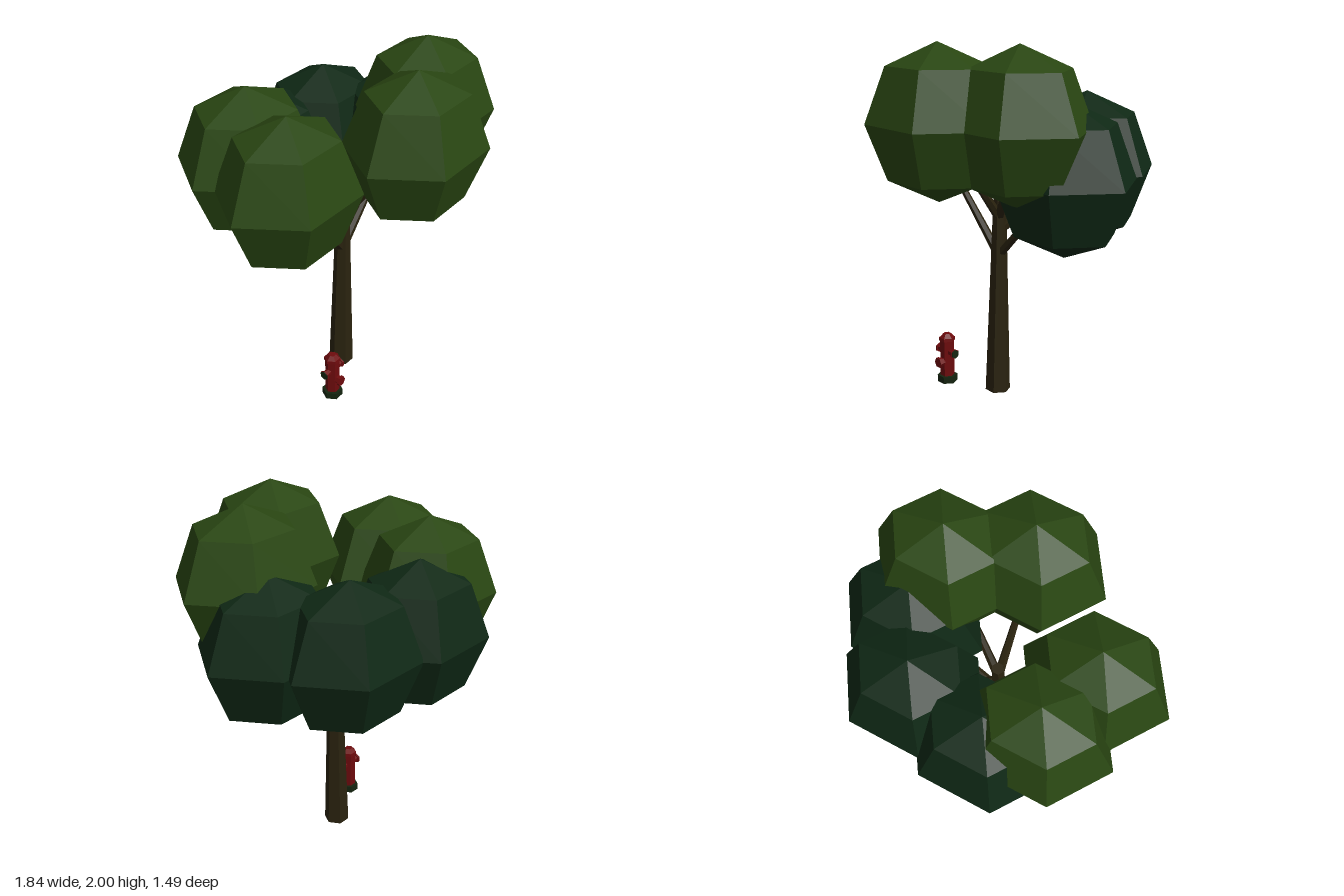
import * as THREE from 'three';

const flat = (name, color) => {
  const m = new THREE.MeshStandardMaterial({ color, flatShading: true });
  m.name = name;
  return m;
};

export function createModel() {
  const lightLeaf = flat('light leaf green', 0x294612);
  const darkLeaf = flat('dark leaf green', 0x0f2815);
  const bark = flat('bark brown', 0x2a230f);
  const red = flat('hydrant red', 0x6e0b0d);
  const iron = flat('hydrant dark green', 0x14240f);

  const model = new THREE.Group();
  const add = (parent, name, geometry, material) => {
    const mesh = new THREE.Mesh(geometry, material);
    mesh.name = name;
    parent.add(mesh);
    return mesh;
  };

  // tapered six-sided rod between two points
  const rod = (parent, name, material, a, b, r0, r1, sides = 6) => {
    const from = new THREE.Vector3(...a), to = new THREE.Vector3(...b);
    const dir = to.clone().sub(from);
    const geo = new THREE.CylinderGeometry(r1, r0, dir.length(), sides);
    geo.rotateY(Math.PI / 2); // corners on the x axis
    const mesh = add(parent, name, geo, material);
    mesh.position.copy(from).add(to).multiplyScalar(0.5);
    mesh.quaternion.setFromUnitVectors(new THREE.Vector3(0, 1, 0), dir.normalize());
    return mesh;
  };

  // tree
  const tree = new THREE.Group();
  tree.name = 'tree';
  model.add(tree);
  rod(tree, 'trunk', bark, [-0.005, 0, 0], [0.012, 1.13, 0], 0.071, 0.036);

  // foliage: position, material, height where its branch leaves the trunk
  const clumps = [
    [0.04, 1.59, 0.435, lightLeaf, 1.02],
    [0.43, 1.59, 0.23, lightLeaf, 1.02],
    [-0.51, 1.45, 0.065, lightLeaf, 0.8],
    [-0.385, 1.45, -0.31, lightLeaf, 1.0],
    [-0.145, 1.31, -0.44, darkLeaf, 0.95],
    [0.305, 1.31, -0.365, darkLeaf, 0.95],
    [0.51, 1.31, -0.01, darkLeaf, 0.81],
  ];
  const clumpShape = new THREE.SphereGeometry(0.41, 6, 4);
  clumpShape.scale(1, 1, 0.87);
  for (const [x, y, z, material, start] of clumps) {
    add(tree, 'foliage', clumpShape, material).position.set(x, y, z);
    const t = 0.65;
    rod(tree, 'branch', bark, [0.01, start, 0],
      [0.01 + (x - 0.01) * t, start + (y - start) * t, z * t], 0.027, 0.017);
  }

  // fire hydrant
  const hydrant = new THREE.Group();
  hydrant.name = 'hydrant';
  hydrant.position.set(-0.283, 0, 0.152);
  model.add(hydrant);
  rod(hydrant, 'hydrantBase', iron, [0, 0, 0], [0, 0.04, 0], 0.058, 0.058);
  rod(hydrant, 'hydrantBody', red, [0, 0.04, 0], [0, 0.26, 0], 0.041, 0.041);
  rod(hydrant, 'hydrantCollar', red, [0, 0.255, 0], [0, 0.273, 0], 0.048, 0.046);
  rod(hydrant, 'hydrantCap', red, [0, 0.273, 0], [0, 0.296, 0], 0.044, 0.022);

  // side outlets with dark end caps
  for (const s of [-1, 1]) {
    rod(hydrant, 'sideOutlet', red, [0, 0.187, 0], [s * 0.066, 0.187, 0], 0.02, 0.02);
    rod(hydrant, 'outletFlange', red, [s * 0.064, 0.187, 0], [s * 0.074, 0.187, 0], 0.029, 0.029);
    rod(hydrant, 'outletCap', iron, [s * 0.07, 0.187, 0], [s * 0.078, 0.187, 0], 0.026, 0.026);
  }
  // front outlet
  rod(hydrant, 'frontOutlet', red, [0, 0.128, 0], [0, 0.128, 0.056], 0.025, 0.025);
  rod(hydrant, 'frontOutletFlange', red, [0, 0.128, 0.052], [0, 0.128, 0.068], 0.031, 0.031);

  return model;
}
